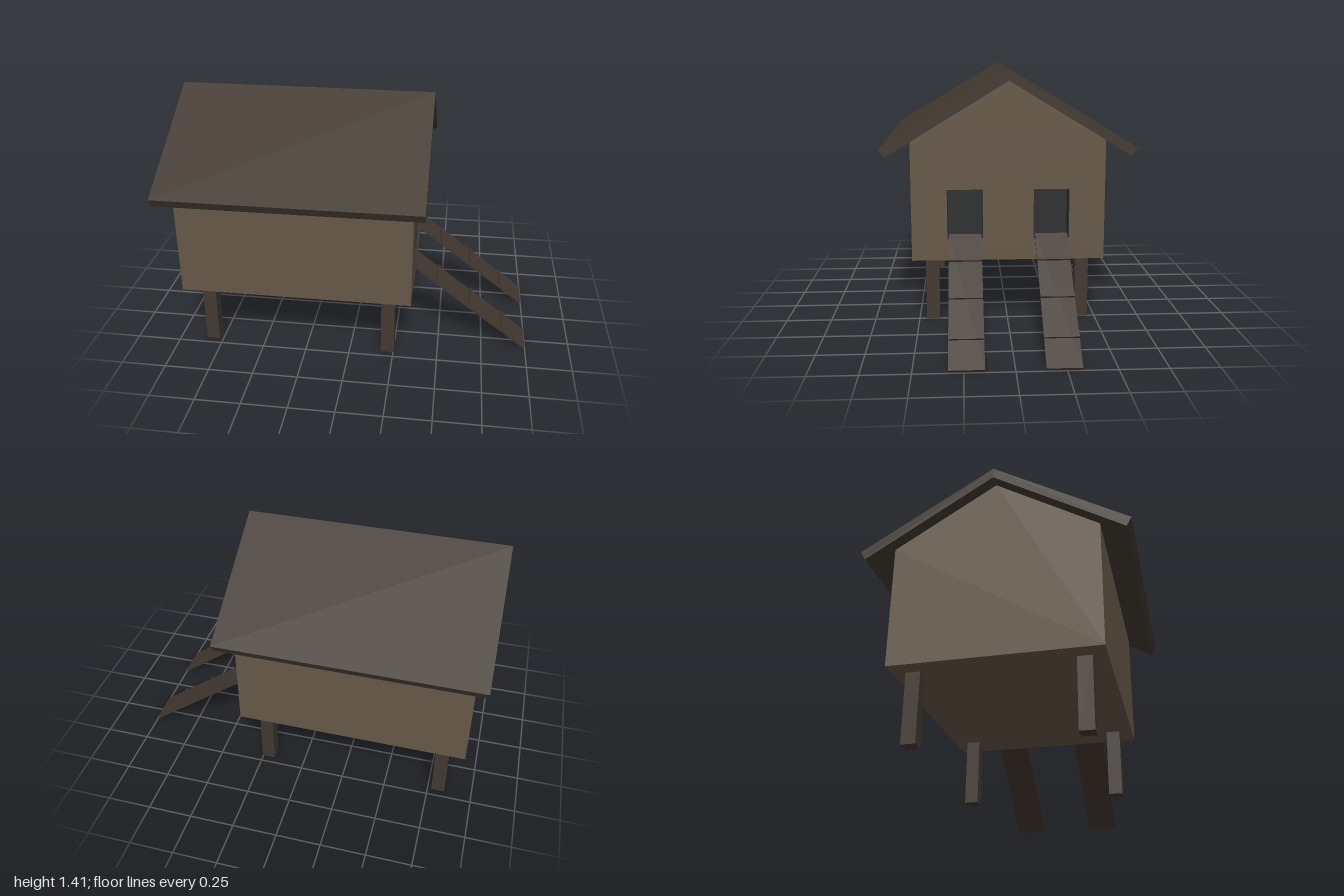
import * as THREE from 'three';

export function createModel() {
  const model = new THREE.Group();
  const mat = (name, color) => Object.assign(new THREE.MeshStandardMaterial({ color }), { name });
  const wall = mat('wall wood', 0x665848);
  const timber = mat('dark timber', 0x423930);
  const dark = mat('dark doorway', 0x2e2f30);

  const add = (name, geometry, material, parent = model) => {
    const mesh = new THREE.Mesh(geometry, material);
    mesh.name = name;
    parent.add(mesh);
    return mesh;
  };
  const box = (name, size, pos, material, parent) => {
    const mesh = add(name, new THREE.BoxGeometry(...size), material, parent);
    mesh.position.set(...pos);
    return mesh;
  };
  // Extrude a z-y outline along x, from x0 to x1
  const alongX = (name, points, x0, x1, material, holes = []) => {
    const shape = new THREE.Shape(points.map(p => new THREE.Vector2(...p)));
    for (const h of holes) shape.holes.push(new THREE.Path(h.map(p => new THREE.Vector2(...p))));
    const geo = new THREE.ExtrudeGeometry(shape, { depth: x1 - x0, bevelEnabled: false });
    geo.rotateY(Math.PI / 2).translate(x0, 0, 0);
    return add(name, geo, material);
  };

  // House body, with a front gable wall pierced by two doorways
  const gable = [[-0.53, 0.37], [0.53, 0.37], [0.53, 1.032], [0, 1.355], [-0.53, 1.032]];
  const backX = 0.267, wallX = 0.347;
  const doorZ = 0.237, doorW = 0.196, y0 = 0.49, y1 = 0.765;
  const hole = c => [
    [c - doorW / 2, y0], [c - doorW / 2, y1], [c + doorW / 2, y1], [c + doorW / 2, y0]
  ];
  alongX('houseBody', gable, -0.935, backX, wall);
  alongX('doorGableWall', gable, backX, wallX, wall, [hole(-doorZ), hole(doorZ)]);

  // Gabled roof
  alongX('roof', [
    [0, 1.41], [-0.688, 0.999], [-0.662, 0.952], [0, 1.355], [0.662, 0.952], [0.688, 0.999]
  ], -1, 0.413, timber);

  // Legs
  for (const x of [-0.808, 0.217])
    for (const z of [-0.422, 0.422])
      box('leg', [0.075, 0.37, 0.075], [x, 0.185, z], timber);

  const rampTop = new THREE.Vector2(0.333, 0.51), rampFoot = new THREE.Vector2(0.994, 0.007);
  const run = rampFoot.clone().sub(rampTop);
  for (const s of [-1, 1]) {
    // Dark lining of the doorway recess
    const t = 0.004, midY = (y0 + y1) / 2, h = y1 - y0, depth = wallX - backX;
    const midX = (wallX + backX) / 2;
    const doorway = new THREE.Group();
    doorway.name = 'doorway';
    doorway.position.z = s * doorZ;
    model.add(doorway);
    box('doorBack', [t, h, doorW], [backX + t / 2, midY, 0], dark, doorway);
    for (const e of [-1, 1]) {
      box('doorJamb', [depth, h, t], [midX, midY, e * (doorW - t) / 2], dark, doorway);
      box('doorSillAndHead', [depth, t, doorW], [midX, midY + e * (h - t) / 2, 0], dark, doorway);
    }

    // Sloping ramp with cleats
    const ramp = new THREE.Group();
    ramp.name = 'ramp';
    ramp.position.set((rampTop.x + rampFoot.x) / 2, (rampTop.y + rampFoot.y) / 2, s * doorZ);
    ramp.rotation.z = Math.atan2(run.y, run.x);
    model.add(ramp);
    box('rampBoard', [run.length(), 0.014, 0.178], [0, 0, 0], timber, ramp);
    for (const x of [-0.235, 0.003, 0.242])
      box('rampCleat', [0.016, 0.012, 0.178], [x, 0.012, 0], timber, ramp);
  }
  return model;
}
